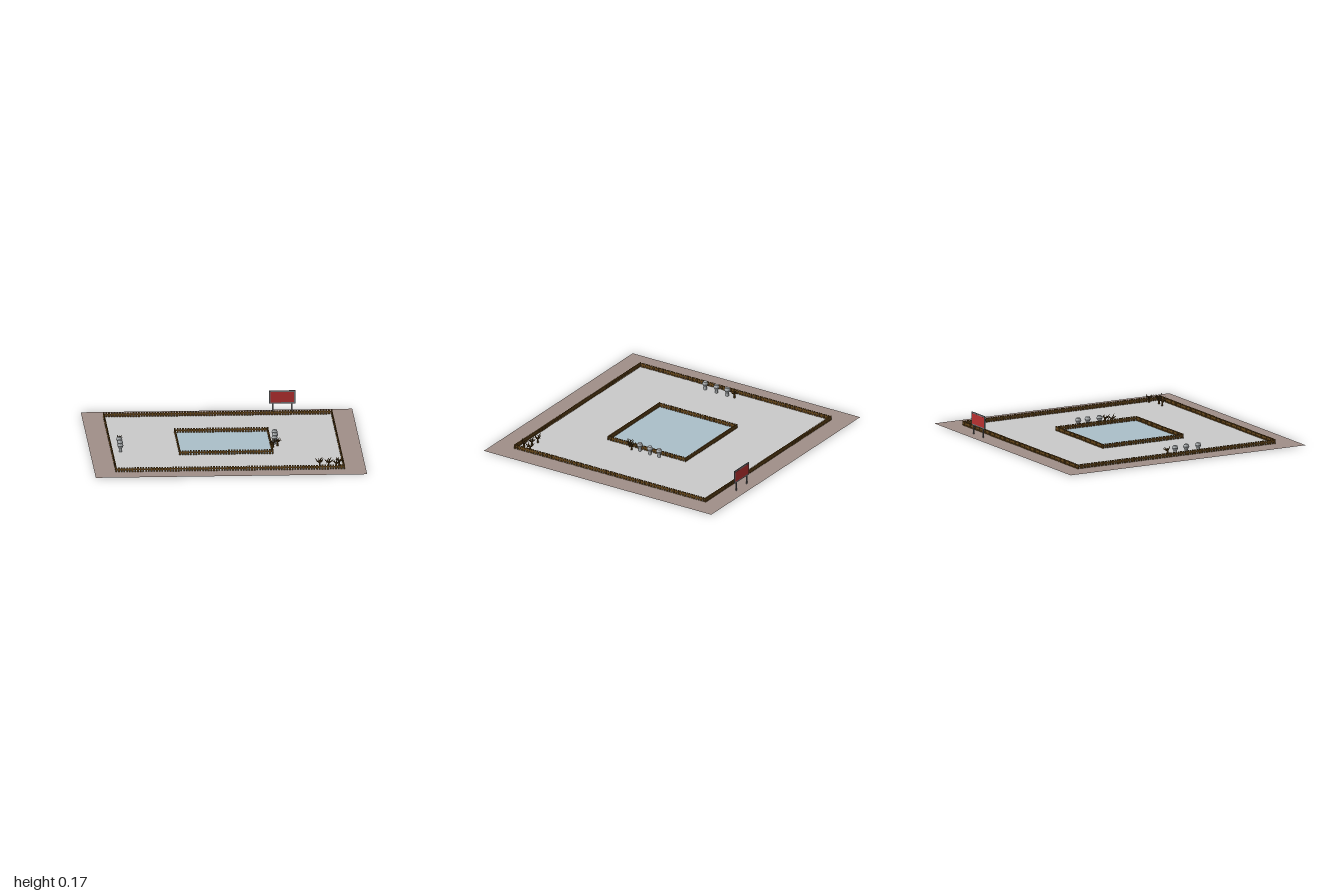
import * as THREE from 'three';
import { mergeGeometries } from 'three/addons/utils/BufferGeometryUtils.js';

const mat = (name, color, extra = {}) => {
  const m = new THREE.MeshStandardMaterial({ color, ...extra });
  m.name = name;
  return m;
};

function mesh(name, geometry, material, parent) {
  const m = new THREE.Mesh(geometry, material);
  m.name = name;
  parent.add(m);
  return m;
}

const box = (w, h, d, x, y, z) => new THREE.BoxGeometry(w, h, d).translate(x, y, z);

// Flat rectangular zone with an optional rectangular hole; r = [x0, x1, z0, z1]
function zone(r, hole) {
  const pts = ([x0, x1, z0, z1]) => [[x0, -z1], [x1, -z1], [x1, -z0], [x0, -z0]].map(p => new THREE.Vector2(...p));
  const shape = new THREE.Shape(pts(r));
  if (hole) shape.holes.push(new THREE.Path(pts(hole)));
  return new THREE.ShapeGeometry(shape).rotateX(-Math.PI / 2);
}

// Picket fence around a rectangle: pickets plus one rail on each side
function fence([x0, x1, z0, z1], pitch) {
  const pickets = [], rails = [];
  const t = 0.008, h = 0.033;
  const nx = Math.round((x1 - x0) / pitch), nz = Math.round((z1 - z0) / pitch);
  for (const z of [z0, z1]) {
    for (let i = 0; i <= nx; i++) pickets.push(box(0.012, h, t, x0 + (x1 - x0) * i / nx, h / 2, z));
    rails.push(box(x1 - x0, 0.012, 0.005, (x0 + x1) / 2, 0.018, z));
  }
  for (const x of [x0, x1]) {
    for (let i = 1; i < nz; i++) pickets.push(box(t, h, 0.012, x, h / 2, z0 + (z1 - z0) * i / nz));
    rails.push(box(0.005, 0.012, z1 - z0, x, 0.018, (z0 + z1) / 2));
  }
  return { pickets: mergeGeometries(pickets), rails: mergeGeometries(rails) };
}

// Tapered branch between two points
function limb(a, b, r0, r1) {
  const dir = b.clone().sub(a);
  const q = new THREE.Quaternion().setFromUnitVectors(new THREE.Vector3(0, 1, 0), dir.clone().normalize());
  return new THREE.CylinderGeometry(r1, r0, dir.length(), 5)
    .translate(0, dir.length() / 2, 0).applyQuaternion(q).translate(a.x, a.y, a.z);
}

// Bare bush: leaning trunk, bent branches and short twigs
function bush(seed) {
  let s = seed * 7919 + 17;
  const rnd = () => (s = (s * 16807) % 2147483647) / 2147483647;
  const parts = [];
  const fork = new THREE.Vector3(0.006 * (rnd() - 0.5), 0.03, 0.006 * (rnd() - 0.5));
  parts.push(limb(new THREE.Vector3(0, -0.002, 0), fork, 0.008, 0.006));
  const n = 5, turn = rnd() * 6.28;
  for (let i = 0; i < n; i++) {
    const a = turn + i / n * Math.PI * 2 + (rnd() - 0.5) * 0.7;
    const reach = 0.018 + rnd() * 0.02;
    const at = (k, y, da = 0) => new THREE.Vector3(Math.cos(a + da) * reach * k, y, Math.sin(a + da) * reach * k);
    const elbow = at(0.55, 0.036 + rnd() * 0.014);
    const tip = at(1, elbow.y + 0.006 + rnd() * 0.02, 0.4);
    parts.push(limb(fork, elbow, 0.0055, 0.0045), limb(elbow, tip, 0.0045, 0.001));
    parts.push(limb(elbow, at(0.9, elbow.y + 0.012 - rnd() * 0.024, -0.6), 0.0035, 0.001));
  }
  return mergeGeometries(parts);
}

export function createModel() {
  const model = new THREE.Group();
  model.name = 'fencedYard';

  const earth = mat('brown earth', 0xa08f88, { side: THREE.DoubleSide });
  const paving = mat('pale paving', 0xcacaca, { side: THREE.DoubleSide });
  const water = mat('pond water', 0xabbfc9, { side: THREE.DoubleSide });
  const wood = mat('fence wood', 0x6b4a1c);
  const bark = mat('bush bark', 0x5c3f14);
  const stone = mat('grey stone', 0xa8acae, { flatShading: true });
  const metal = mat('sign metal', 0x77777a);
  const red = mat('sign red', 0xb83030);

  // Ground zones
  const outer = [-0.84, 0.84, -0.845, 0.83];
  const inner = [-0.343, 0.34, -0.343, 0.335];
  mesh('earthBorder', zone([-1, 1, -1, 1], outer), earth, model);
  mesh('pavedYard', zone(outer, inner), paving, model);
  mesh('pond', zone(inner), water, model);

  // Fences
  for (const [name, rect] of [['yardFence', outer], ['pondFence', inner]]) {
    const group = new THREE.Group();
    group.name = name;
    const f = fence(rect, 0.02);
    mesh('pickets', f.pickets, wood, group);
    mesh('rails', f.rails, wood, group);
    model.add(group);
  }

  // Bushes
  const bushes = [[-0.77, -0.045], [0.355, 0.14], [0.39, 0.1],
    [0.665, 0.745], [0.73, 0.755], [0.785, 0.79], [0.81, 0.715]];
  bushes.forEach(([x, z], i) => mesh('bush', bush(i + 1), bark, model).position.set(x, 0, z));

  // Round stone seats in two rows
  const profile = [[0, 0], [0.012, 0], [0.012, 0.024], [0.023, 0.046], [0.016, 0.064], [0, 0.066]]
    .map(p => new THREE.Vector2(...p));
  const seat = new THREE.LatheGeometry(profile, 12);
  for (const [x, z] of [[-0.773, 0.02], [-0.773, 0.115], [-0.775, 0.215], [0.38, -0.135], [0.38, -0.055], [0.37, 0.04]])
    mesh('stoneSeat', seat, stone, model).position.set(x, 0, z);

  // Sign with a red panel on both faces
  const sign = new THREE.Group();
  sign.name = 'sign';
  sign.position.set(0.48, 0, -0.925);
  mesh('signFrame', box(0.194, 0.098, 0.008, 0, 0.115, 0), metal, sign);
  mesh('signPanel', box(0.172, 0.078, 0.0096, 0, 0.115, 0), red, sign);
  for (const side of [-1, 1]) mesh('signLeg', box(0.012, 0.068, 0.008, side * 0.07, 0.034, 0), metal, sign);
  model.add(sign);

  return model;
}
